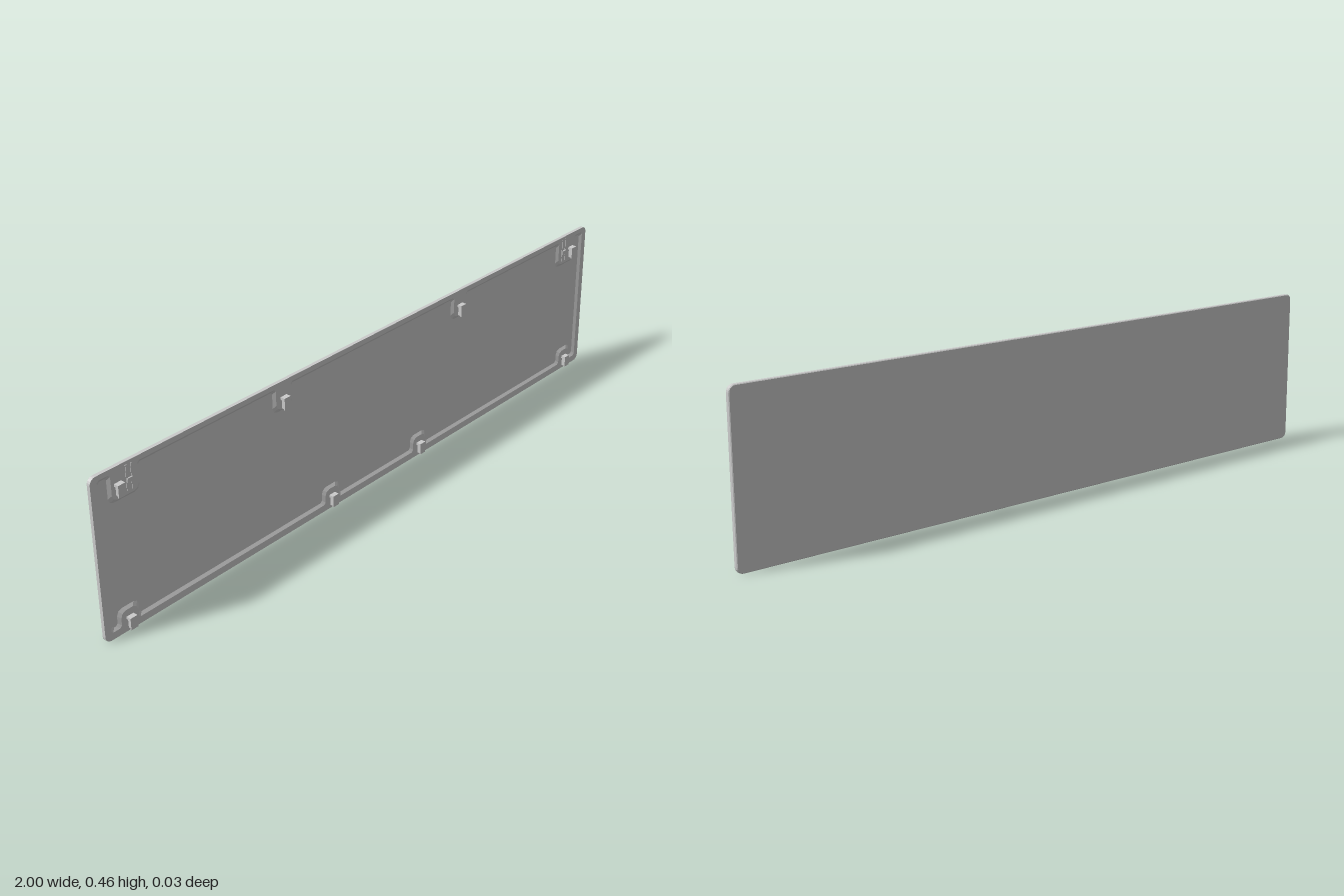
import * as THREE from 'three';

const H = 0.463, FRONT = -0.001, FLOOR = -0.007, BACK = -0.0135;
const material = new THREE.MeshStandardMaterial({ color: 0xcccccc, flatShading: true });

// Outer outline with rounded corners, counter-clockwise, inset by d
function outerRing(d) {
  const r = 0.018, pts = [];
  const corners = [[1 - r, r], [1 - r, H - r], [-1 + r, H - r], [-1 + r, r]];
  corners.forEach(([cx, cy], i) => {
    for (let k = 0; k <= 5; k++) {
      const a = (i - 1 + k / 5) * Math.PI / 2;
      pts.push(new THREE.Vector2(cx + (r - d) * Math.cos(a), cy + (r - d) * Math.sin(a)));
    }
  });
  return pts;
}

// Recess outline with tabs of the rim reaching into it, shrunk by d
function recessRing(d) {
  const half = [], f = 0.006, c = 0.016;
  const add = (x, y) => half.push(new THREE.Vector2(x, y));
  const tab = (cx, w, base, tip, s) => { // s = 1 rises from the bottom, -1 hangs from the top
    w += d;
    tip += s * d;
    const side = [
      [-w - f, base], [-w, base + s * f], [-w, tip - s * c],
      [-w + c * 0.3, tip - s * c * 0.3], [-w + c, tip],
    ];
    for (const [x, y] of side) add(cx + s * x, y);
    for (const [x, y] of side.reverse()) add(cx - s * x, y);
  };
  const bottom = 0.02 + d, top = 0.449 - d, edge = 0.981 - d;
  tab(0.188, 0.027, bottom, 0.062, 1);
  tab(0.92, 0.027, bottom, 0.062, 1);
  add(edge - f, bottom);
  add(edge, bottom + f);
  add(edge, top - f);
  add(edge - f, top);
  tab(0.899, 0.041, top, 0.375, -1);
  tab(0.365, 0.027, top, 0.385, -1);
  const mirrored = half.map(p => new THREE.Vector2(-p.x, p.y)).reverse();
  return [...half, ...mirrored];
}

// Strip of quads joining successive closed rings given as [points, z]
function loft(rings) {
  const n = rings[0][0].length, pos = [], idx = [];
  for (const [pts, z] of rings) for (const p of pts) pos.push(p.x, p.y, z);
  for (let r = 0; r < rings.length - 1; r++) {
    for (let i = 0; i < n; i++) {
      const a = r * n + i, b = r * n + (i + 1) % n;
      idx.push(a, b, b + n, a, b + n, a + n);
    }
  }
  const g = new THREE.BufferGeometry();
  g.setAttribute('position', new THREE.Float32BufferAttribute(pos, 3));
  g.setIndex(idx);
  g.computeVertexNormals();
  return g;
}

function mesh(name, geometry, parent) {
  const m = new THREE.Mesh(geometry, material);
  m.name = name;
  parent.add(m);
  return m;
}

function box(name, parent, w, h, z0, z1, x, y) {
  const m = mesh(name, new THREE.BoxGeometry(w, h, z1 - z0), parent);
  m.position.set(x, y, (z0 + z1) / 2);
}

// Small hooked clip: narrow core under a wider top bar and front plate
function clip(parent, x, y) {
  const g = new THREE.Group();
  g.name = 'clip';
  box('clipCore', g, 0.014, 0.028, FRONT - 0.001, 0.0105, 0, -0.003);
  box('clipTop', g, 0.022, 0.007, FRONT - 0.001, 0.0135, 0, 0.0135);
  box('clipFront', g, 0.022, 0.034, 0.0095, 0.0135, 0, 0);
  g.position.set(x, y, 0);
  parent.add(g);
}

export function createModel() {
  const model = new THREE.Group();
  model.name = 'coverPanel';

  // Panel: rim face, recess wall and floor, outer edge, back
  const rim = new THREE.Shape(outerRing(0));
  rim.holes.push(new THREE.Path(recessRing(0)));
  mesh('rimFace', new THREE.ShapeGeometry(rim), model).position.z = FRONT;
  mesh('recessWall', loft([[recessRing(0.008), FLOOR], [recessRing(0), FRONT]].reverse()
    .map(([p, z]) => [p.slice().reverse(), z]).reverse()), model);
  mesh('recessFloor', new THREE.ShapeGeometry(new THREE.Shape(recessRing(0.008))), model).position.z = FLOOR;
  mesh('outerEdge', loft([[outerRing(0.002), BACK], [outerRing(0), BACK + 0.002], [outerRing(0), FRONT]]), model);
  const back = mesh('backFace', new THREE.ShapeGeometry(new THREE.Shape(outerRing(0.002))), model);
  back.rotation.y = Math.PI;
  back.position.z = BACK;

  // Clips and corner ribs, mirrored left and right
  for (const s of [1, -1]) {
    for (const [x, y] of [[0.188, 0.026], [0.92, 0.026], [0.365, 0.403], [0.92, 0.403]]) clip(model, s * x, y);
    for (const x of [0.876, 0.892]) box('cornerRib', model, 0.005, 0.07, FRONT - 0.001, 0.0005, s * x, 0.419);
    box('ribBridge', model, 0.016, 0.012, FRONT - 0.001, 0.003, s * 0.884, 0.412);
  }
  return model;
}
